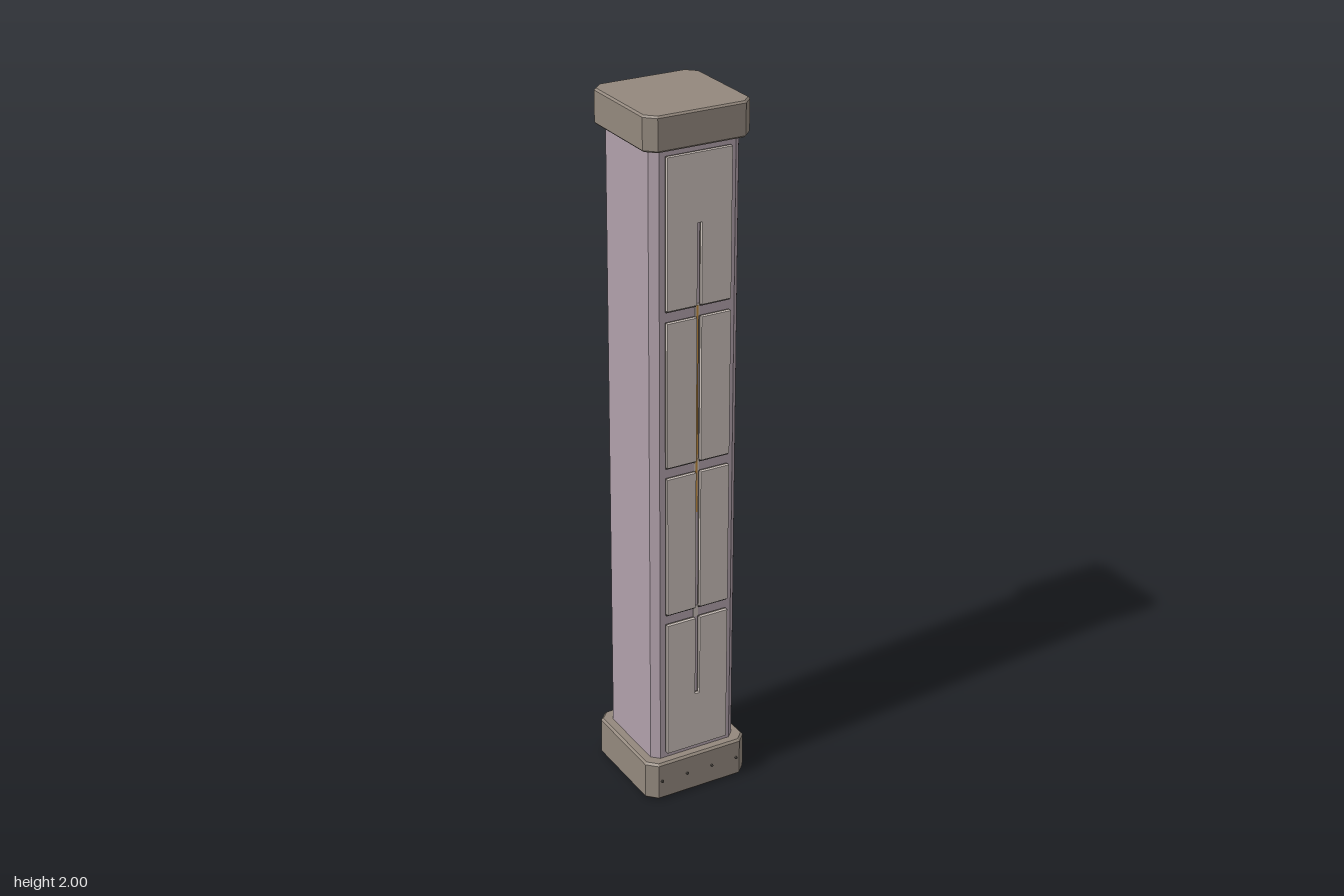
import * as THREE from 'three';

const mat = (name, color, extra = {}) => {
  const m = new THREE.MeshStandardMaterial({ color, ...extra });
  m.name = name;
  return m;
};

// Square block with chamfered corners and bevelled rims, standing from y0 to y1
function chamferedBlock(half, cut, y0, y1, bevel) {
  const h = half, k = half - cut;
  const shape = new THREE.Shape([
    [k, -h], [h, -k], [h, k], [k, h], [-k, h], [-h, k], [-h, -k], [-k, -h],
  ].map(([x, y]) => new THREE.Vector2(x, y)));
  const geo = new THREE.ExtrudeGeometry(shape, {
    depth: y1 - y0 - 2 * bevel, bevelEnabled: bevel > 0,
    bevelThickness: bevel, bevelSize: bevel, bevelOffset: -bevel, bevelSegments: 1,
  });
  geo.rotateX(-Math.PI / 2);
  geo.translate(0, y0 + bevel, 0);
  return geo;
}

// Rectangular plate, notched where the central light slot crosses it
function slottedPlate(w, y0, y1, slot0, slot1, s, depth) {
  const parts = [];
  const a = Math.max(y0, slot0), b = Math.min(y1, slot1);
  const bottom = [[-w, y0], [w, y0]], top = [[w, y1], [-w, y1]];
  if (a > y0) parts.push([...bottom, [w, y1], [s, y1], [s, a], [-s, a], [-s, y1], [-w, y1]]);
  else if (b < y1) parts.push([[-w, y0], [-s, y0], [-s, b], [s, b], [s, y0], [w, y0], ...top]);
  else parts.push([[-w, y0], [-s, y0], [-s, y1], [-w, y1]], [[s, y0], [w, y0], [w, y1], [s, y1]]);
  const shapes = parts.map(p => new THREE.Shape(p.map(([x, y]) => new THREE.Vector2(x, y))));
  return new THREE.ExtrudeGeometry(shapes, { depth, bevelEnabled: false });
}

export function createModel() {
  const model = new THREE.Group();
  const taupe = mat('taupe casing', 0x93887d);
  const mauve = mat('mauve column', 0xb0a0aa);
  const cream = mat('pale panel', 0xc8beb8);
  const dark = mat('dark metal', 0x55504a);
  const amber = mat('amber light', 0xc08a3c);

  const add = (name, geo, material, x = 0, y = 0, z = 0, parent = model) => {
    const mesh = new THREE.Mesh(geo, material);
    mesh.name = name;
    mesh.position.set(x, y, z);
    parent.add(mesh);
    return mesh;
  };
  const box = (w, h, d) => new THREE.BoxGeometry(w, h, d);

  // Main body
  add('base', chamferedBlock(0.159, 0.028, 0, 0.117, 0.006), taupe, 0, 0, -0.002);
  add('column', chamferedBlock(0.131, 0.02, 0.11, 1.91, 0), mauve, 0, 0, -0.001);
  add('cap', chamferedBlock(0.154, 0.028, 1.905, 2, 0.005), taupe, 0, 0, -0.002);

  // Four front panels on dark backing plates, with a slot down the middle
  const front = 0.13, slot0 = 0.305, slot1 = 1.7, slotHalf = 0.007;
  const height = 0.412, pitch = 0.4465;
  const panels = new THREE.Group();
  panels.name = 'frontPanels';
  model.add(panels);
  for (let i = 0; i < 4; i++) {
    const y0 = 0.135 + i * pitch, y1 = y0 + height;
    const lip = i ? 0.006 : 0;
    add('panelBacking', slottedPlate(0.094, y0 - lip, y1, slot0, slot1, slotHalf, 0.006), dark, 0, 0, front, panels);
    add('panelFace', slottedPlate(0.094, y0, y1, slot0, slot1, slotHalf, 0.007), cream, 0, 0, front + 0.006, panels);
    // Pale bridge across the gap above the panel
    if (i < 3) add('slotBridge', box(slotHalf * 2, pitch - height, 0.002), cream, 0, y1 + (pitch - height) / 2, front + 0.001, panels);
  }
  add('lightStrip', box(0.006, 0.6, 0.003), amber, 0, 1.17, front + 0.0015);

  // Side rail with three clips holding it off the column
  const rail = new THREE.Group();
  rail.name = 'sideRail';
  model.add(rail);
  add('railBar', box(0.015, 1.735, 0.024), dark, 0.143, 1.0025, 0.066, rail);
  add('railInlay', box(0.002, 1.735, 0.01), taupe, 0.1505, 1.0025, 0.067, rail);
  for (const y of [0.27, 1.0, 1.735]) {
    add('railClip', box(0.02, 0.02, 0.014), dark, 0.139, y, 0.057, rail);
    const pin = add('clipPin', new THREE.CylinderGeometry(0.007, 0.007, 0.02, 10), dark, 0.14, y, 0.053, rail);
    pin.rotation.z = Math.PI / 2;
  }

  // Small bolts on the front of the base
  for (const x of [-0.12, -0.04, 0.04, 0.12]) {
    const bolt = add('baseBolt', new THREE.CylinderGeometry(0.004, 0.004, 0.008, 10), dark, x, 0.06, 0.157);
    bolt.rotation.x = Math.PI / 2;
  }
  return model;
}
